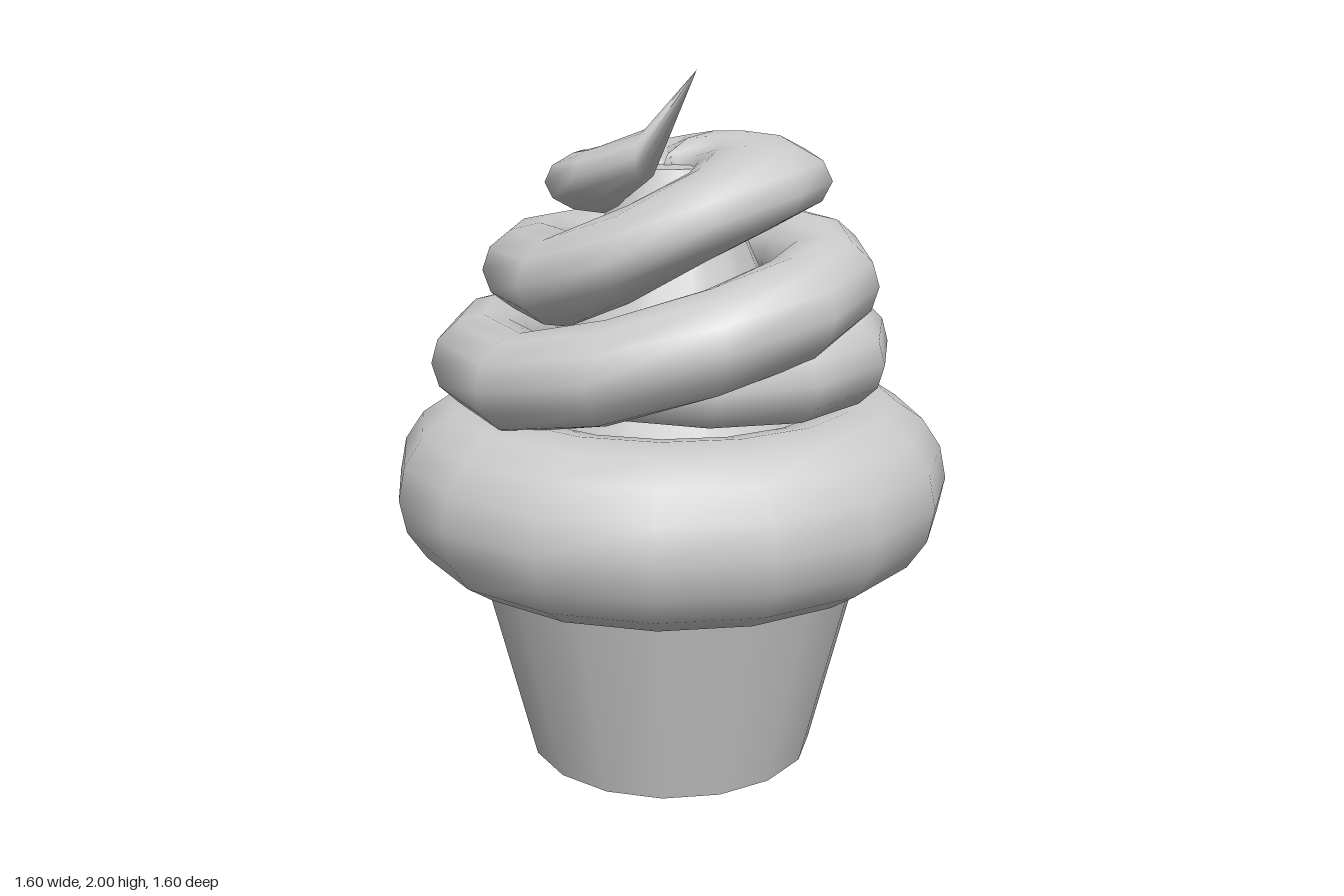
import * as THREE from 'three';

// Swirl path: [degrees from front towards +x, outer radius, centre height, half width, half height]
const SWIRL = [
  [-90, 0.50, 1.20, 0.03, 0.03],
  [-60, 0.53, 1.20, 0.10, 0.10],
  [0, 0.59, 1.20, 0.14, 0.13],
  [60, 0.655, 1.20, 0.14, 0.135],
  [90, 0.685, 1.20, 0.14, 0.135],
  [180, 0.68, 1.20, 0.14, 0.135],
  [270, 0.685, 1.19, 0.15, 0.135],
  [300, 0.68, 1.25, 0.15, 0.14],
  [330, 0.67, 1.33, 0.16, 0.14],
  [360, 0.635, 1.385, 0.16, 0.14],
  [420, 0.565, 1.45, 0.15, 0.13],
  [450, 0.54, 1.465, 0.15, 0.125],
  [540, 0.52, 1.455, 0.15, 0.12],
  [630, 0.54, 1.45, 0.17, 0.13],
  [660, 0.535, 1.53, 0.18, 0.13],
  [690, 0.53, 1.63, 0.19, 0.12],
  [720, 0.505, 1.69, 0.21, 0.11],
  [780, 0.42, 1.71, 0.21, 0.11],
  [810, 0.38, 1.705, 0.21, 0.11],
  [900, 0.36, 1.67, 0.20, 0.10],
  [960, 0.355, 1.69, 0.16, 0.09],
  [990, 0.35, 1.72, 0.125, 0.08],
  [1020, 0.30, 1.775, 0.10, 0.07],
  [1055, 0.237, 2.00, 0, 0],
];

// Value of the swirl table at an angle
function swirlAt(deg) {
  let i = 0;
  while (i < SWIRL.length - 2 && SWIRL[i + 1][0] < deg) i++;
  const a = SWIRL[i], b = SWIRL[i + 1];
  const t = (deg - a[0]) / (b[0] - a[0]);
  return a.map((v, k) => THREE.MathUtils.lerp(v, b[k], t));
}

// Tube of elliptical sections winding up around the vertical axis
function swirlGeometry(sides = 12) {
  const angles = [];
  for (let d = -90; d <= 1020; d += 30) angles.push(d);
  angles.push(1055);
  const pos = [], idx = [];
  angles.forEach((deg, i) => {
    const [, outer, y, w, h] = swirlAt(deg);
    const phi = THREE.MathUtils.degToRad(deg);
    for (let j = 0; j < sides; j++) {
      const s = (j / sides) * Math.PI * 2;
      const r = outer - w + w * Math.cos(s);
      pos.push(r * Math.sin(phi), y + h * Math.sin(s), r * Math.cos(phi));
      if (i < angles.length - 1) {
        const k = (j + 1) % sides;
        const a = i * sides + j, b = a + sides, c = i * sides + k, d = c + sides;
        idx.push(a, b, d, a, d, c);
      }
    }
  });
  const geo = new THREE.BufferGeometry();
  geo.setAttribute('position', new THREE.Float32BufferAttribute(pos, 3));
  geo.setIndex(idx);
  geo.computeVertexNormals();
  return geo;
}

export function createModel() {
  const group = new THREE.Group();
  const material = new THREE.MeshStandardMaterial({ color: 0xcccccc });
  const add = (name, geometry, y = 0) => {
    const mesh = new THREE.Mesh(geometry, material);
    mesh.name = name;
    mesh.position.y = y;
    group.add(mesh);
  };

  // Tapered cup, its rim tucked into the frosting
  add('cup', new THREE.CylinderGeometry(0.575, 0.42, 0.62, 16), 0.31);

  // Thick bottom ring of frosting
  add('frostingBase', new THREE.TorusGeometry(0.55, 0.25, 16, 16).rotateX(Math.PI / 2), 0.83);

  // Filling that closes the middle of the coils
  add('frostingCore', new THREE.CylinderGeometry(0.13, 0.5, 0.84, 12), 1.31);

  // Coiled frosting ending in a pointed tip
  add('frostingSwirl', swirlGeometry());

  return group;
}
